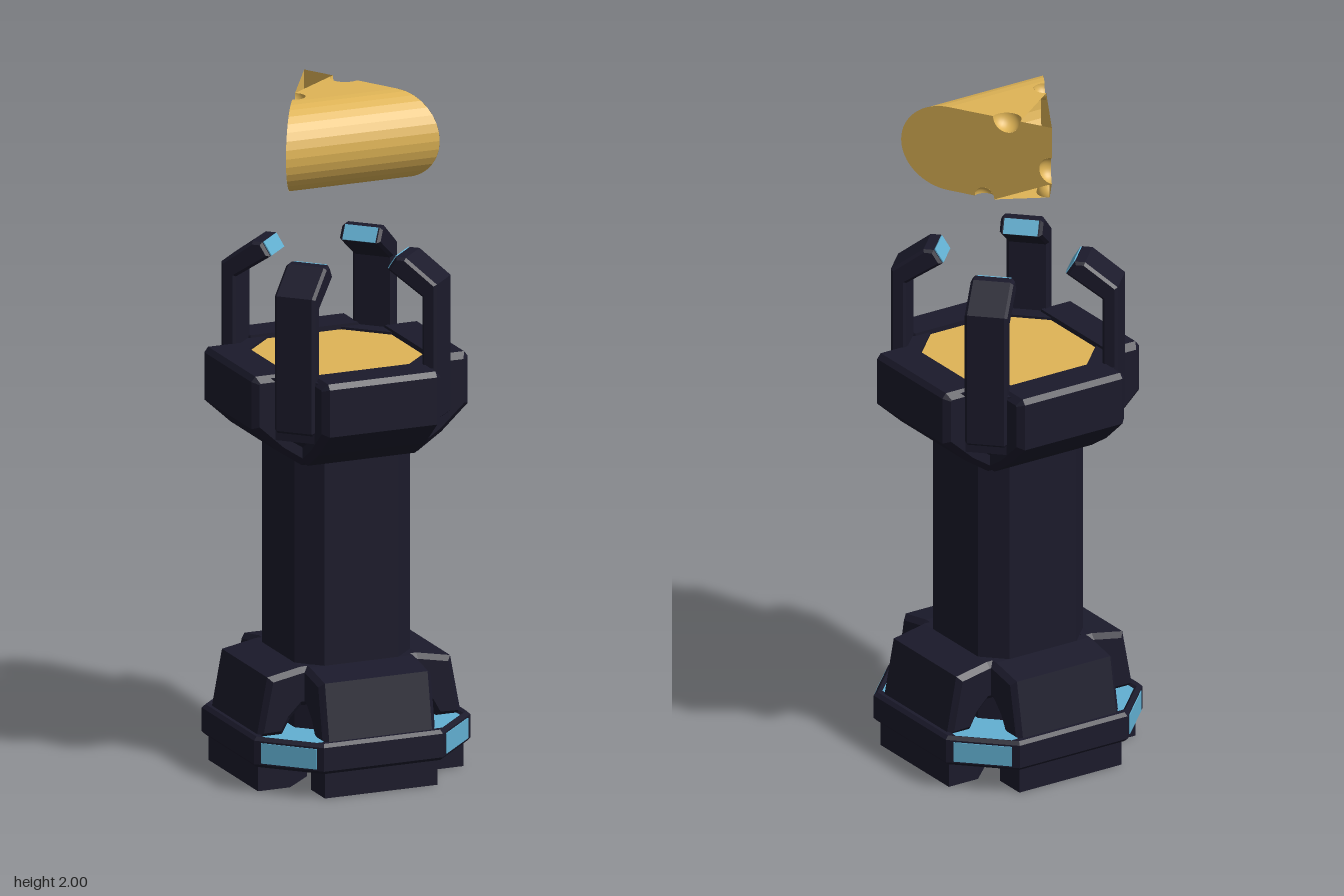
import * as THREE from 'three';

const mat = (color) => new THREE.MeshStandardMaterial({ color, flatShading: true, side: THREE.DoubleSide });
const dark = mat(0x1b1a2b), blue = mat(0x62b0d2), gold = mat(0xdfb456);
const V = (x, y, z) => new THREE.Vector3(x, y, z);

function add(parent, name, geometry, material) {
  const mesh = new THREE.Mesh(geometry, material);
  mesh.name = name;
  parent.add(mesh);
  return mesh;
}

// Octagon outline: flat sides at distance h, corners at (h, c)
const octagon = (h, c) => [[h, -c], [h, c], [c, h], [-c, h], [-h, c], [-h, -c], [-c, -h], [c, -h]]
  .map(([x, y]) => new THREE.Vector2(x, y));

// Upright prism between two heights, with an optional hole and bevel
function prism(points, y0, y1, hole, b = 0) {
  const shape = new THREE.Shape(points);
  if (hole) shape.holes.push(new THREE.Path(hole));
  return new THREE.ExtrudeGeometry(shape, {
    depth: y1 - y0 - 2 * b, bevelEnabled: b > 0, bevelSize: b, bevelThickness: b, bevelOffset: -b, bevelSegments: 1,
  }).rotateX(-Math.PI / 2).translate(0, y0 + b, 0);
}

// Slab with a (radius, height) profile and bevelled sides
function slab(profile, half, b) {
  const shape = new THREE.Shape(profile.map(([x, y]) => new THREE.Vector2(x, y)));
  return new THREE.ExtrudeGeometry(shape, {
    depth: 2 * (half - b), bevelSize: b, bevelThickness: b, bevelOffset: -b, bevelSegments: 1,
  }).translate(0, 0, b - half);
}

// Four copies around the upright axis
function around(parent, name, geometry, material, start) {
  for (let i = 0; i < 4; i++) add(parent, name, geometry, material).rotation.y = start + i * Math.PI / 2;
}

function createTower() {
  const tower = new THREE.Group();
  tower.name = 'tower';
  const diagonal = Math.PI / 4;

  // Base: dark rim, blue plate, corner lights, feet and buttresses
  add(tower, 'baseRim', prism(octagon(0.337, 0.185), 0.075, 0.165, octagon(0.3, 0.191), 0.01), dark);
  add(tower, 'basePlate', prism(octagon(0.305, 0.19), 0.083, 0.158), blue);
  around(tower, 'baseLight', new THREE.BoxGeometry(0.02, 0.06, 0.17).translate(0.362, 0.12, 0), blue, diagonal);
  const foot = [[0.32, -0.175], [0.32, 0.175], [0.22, 0.175], [0.13, 0.09], [0.13, -0.09], [0.22, -0.175]]
    .map(([x, y]) => new THREE.Vector2(x, y));
  around(tower, 'foot', prism(foot, 0, 0.085), dark, 0);
  around(tower, 'buttress', slab([[0.15, 0.35], [0.18, 0.35], [0.285, 0.33], [0.318, 0.155], [0.24, 0.155],
    [0.215, 0.2], [0.18, 0.235], [0.15, 0.235]], 0.175, 0.015), dark, 0);

  add(tower, 'column', prism(octagon(0.18, 0.115), 0.1, 1.1), dark);

  // Head: core, side blocks, plate and the four hooked arms
  add(tower, 'headCore', prism(octagon(0.29, 0.165), 1.04, 1.222, octagon(0.225, 0.115)), dark);
  add(tower, 'headPlate', prism(octagon(0.24, 0.125), 1.1, 1.215), gold);
  around(tower, 'headBlock', slab([[0.225, 1.23], [0.325, 1.23], [0.337, 1.215], [0.337, 1.075], [0.255, 1.0],
    [0.18, 0.95], [0.16, 0.95], [0.16, 1.1], [0.225, 1.12]], 0.185, 0.018), dark, 0);
  around(tower, 'arm', slab([[0.33, 1.07], [0.33, 1.47], [0.235, 1.54], [0.205, 1.54], [0.18, 1.5], [0.285, 1.43],
    [0.285, 1.15], [0.19, 1.1], [0.19, 0.96], [0.209, 0.96]], 0.062, 0.008), dark, diagonal);
  const tip = new THREE.BoxGeometry(0.006, 0.046, 0.1).rotateZ(-Math.atan2(0.025, 0.04)).translate(0.192, 1.52, 0);
  around(tower, 'armLight', tip, blue, diagonal);
  return tower;
}

function createCheese() {
  const cheese = new THREE.Group();
  cheese.name = 'cheeseWedge';
  const y0 = 1.74, H = 0.26, R = H / 2, z0 = -0.225, C = Math.sqrt(3) / 2, U = 0.329, PI = Math.PI;
  const apex = { v: 0.125, r: 0.04 };
  // Dents on each side: distance along the side from the thin end, and radius
  const sides = [
    { s: 1, top: [0.144, 0.043], bottom: [0.214, 0.031] },
    { s: -1, top: [0.277, 0.034], bottom: [0.13, 0.035], hole: [0.294, 0.075, 0.025] },
  ];
  const at = (s, u, v) => V(s * u / 2, y0 + v, z0 + C * u);
  const inward = (s) => V(-s * C, 0, 0.5);

  // Part of a sphere swept from direction a towards direction b
  function dent(center, r, a, b, angle) {
    const m = new THREE.Matrix4().makeBasis(a.clone().negate(), a.clone().cross(b), b).setPosition(center);
    const skin = gold.clone();
    skin.flatShading = false;
    add(cheese, 'dent', new THREE.SphereGeometry(r, 16, 16, 0, angle).applyMatrix4(m), skin);
  }

  // Side faces with their notches
  for (const { s, top, bottom, hole } of sides) {
    const face = new THREE.Shape();
    face.moveTo(0, 0);
    face.absarc(bottom[0], 0, bottom[1], PI, 0, true);
    face.lineTo(U, 0);
    face.absellipse(U, R, R / C, R, -PI / 2, PI / 2, false);
    face.absarc(top[0], H, top[1], 0, PI, true);
    face.lineTo(0, H);
    face.absarc(0, apex.v, apex.r, PI / 2, -PI / 2, true);
    const n = inward(s);
    dent(at(s, top[0], H), top[1], V(0, -1, 0), n, PI / 2);
    dent(at(s, bottom[0], 0), bottom[1], V(0, 1, 0), n, PI / 2);
    if (hole) {
      face.holes.push(new THREE.Path().absarc(...hole, 0, 2 * PI, false));
      dent(at(s, hole[0], hole[1]), hole[2], V(0, 1, 0), n, PI);
    }
    const d = V(s / 2, 0, C), up = V(0, 1, 0);
    const m = new THREE.Matrix4().makeBasis(d, up, d.clone().cross(up)).setPosition(0, y0, z0);
    add(cheese, 'cheeseSide', new THREE.ShapeGeometry(face, 16).applyMatrix4(m), gold);
  }
  dent(at(1, 0, apex.v), apex.r, V(0.5, 0, C), inward(1), PI / 3);

  // Flat top and bottom
  for (const [key, v] of [['top', H], ['bottom', 0]]) {
    const [[ua, ra], [ub, rb]] = sides.map((side) => side[key]);
    const a = at(1, ua, v), b = at(-1, ub, v), end = at(1, U, v);
    const face = new THREE.Shape();
    face.moveTo(0, z0);
    face.absarc(a.x, a.z, ra, PI * 4 / 3, PI / 3, true);
    face.lineTo(end.x, end.z);
    face.lineTo(-end.x, end.z);
    face.absarc(b.x, b.z, rb, PI * 2 / 3, -PI / 3, true);
    add(cheese, key === 'top' ? 'cheeseTop' : 'cheeseBottom',
      new THREE.ShapeGeometry(face, 16).rotateX(PI / 2).translate(0, y0 + v, 0), gold);
  }

  // Rounded rind, widened to follow the wedge
  const rind = new THREE.CylinderGeometry(R, R, 2, 16, 1, true, -PI / 2, PI)
    .rotateZ(PI / 2).translate(0, y0 + R, z0 + C * U);
  const p = rind.attributes.position;
  for (let i = 0; i < p.count; i++) p.setX(i, p.getX(i) * (p.getZ(i) - z0) / (2 * C));
  add(cheese, 'cheeseRind', rind, gold);
  return cheese;
}

export function createModel() {
  const model = new THREE.Group();
  model.name = 'cheeseTower';
  model.add(createTower(), createCheese());
  return model;
}
